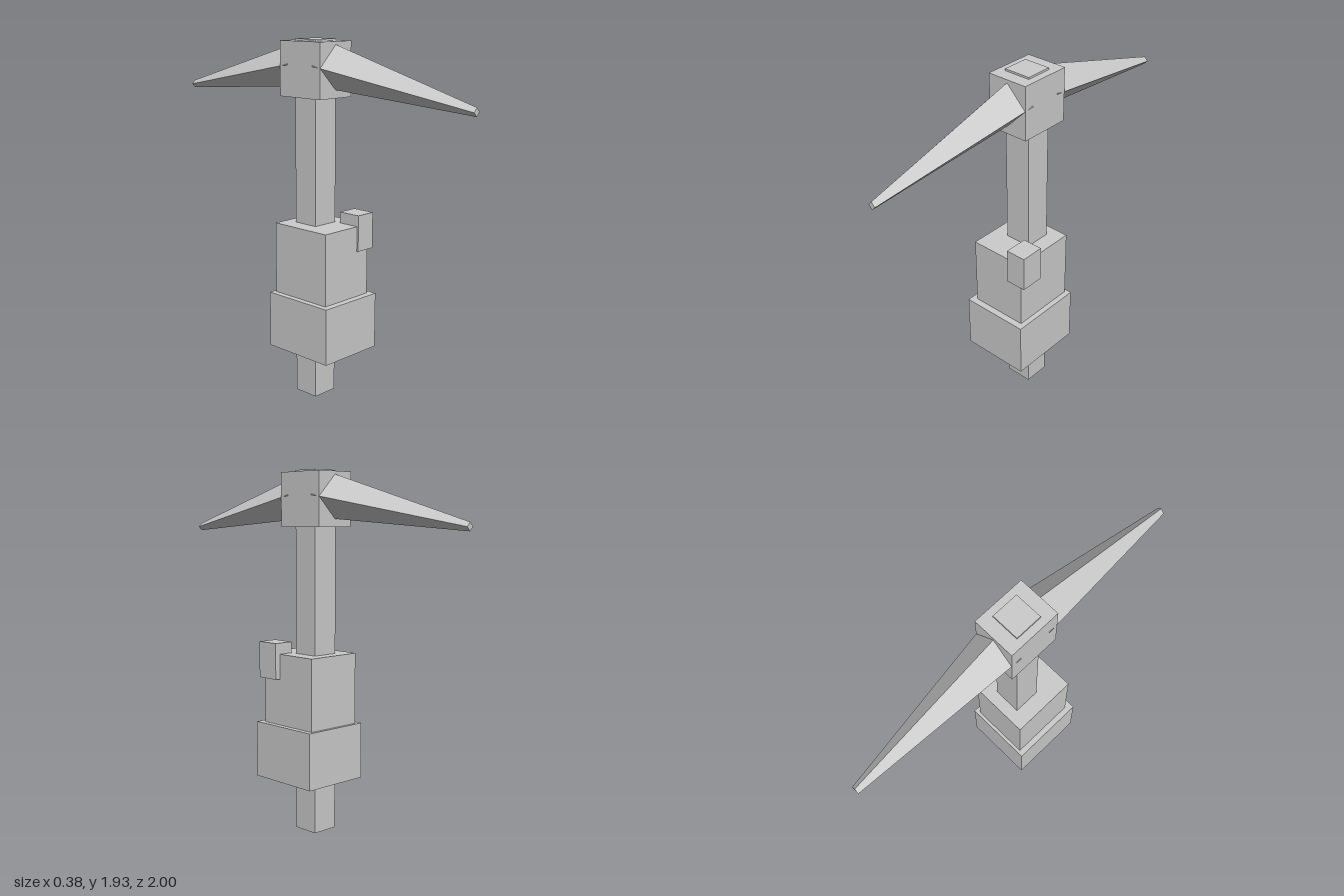
import * as THREE from 'three';

const material = new THREE.MeshStandardMaterial({ color: 0xcccccc, flatShading: true });

// Box given by its [min, max] extents along each axis
function block(name, [x0, x1], [y0, y1], [z0, z1]) {
  const mesh = new THREE.Mesh(new THREE.BoxGeometry(x1 - x0, y1 - y0, z1 - z0), material);
  mesh.position.set((x0 + x1) / 2, (y0 + y1) / 2, (z0 + z1) / 2);
  mesh.name = name;
  return mesh;
}

// Four-sided tapering spike along +z, sheared so that it droops towards its tip
function spikeGeometry() {
  const zBase = 0.09, zTip = 1, yBase = 1.8, yTip = 1.638;
  const geometry = new THREE.CylinderGeometry(0.021, 0.119, zTip - zBase, 4);
  geometry.rotateX(Math.PI / 2).translate(0, 0, (zBase + zTip) / 2);
  const p = geometry.attributes.position;
  for (let i = 0; i < p.count; i++) {
    const t = (p.getZ(i) - zBase) / (zTip - zBase);
    p.setY(i, p.getY(i) + THREE.MathUtils.lerp(yBase, yTip, t));
  }
  const flat = geometry.toNonIndexed();
  flat.computeVertexNormals();
  return flat;
}

export function createModel() {
  const model = new THREE.Group();
  model.name = 'pickaxe';

  // Shaft and the head block it passes through
  model.add(
    block('handle', [-0.075, 0.075], [0, 1.93], [-0.073, 0.073]),
    block('headBlock', [-0.115, 0.115], [1.635, 1.92], [-0.144, 0.142]),
  );

  // Off-centre blocks gripping the shaft
  model.add(
    block('lowerGrip', [-0.195, 0.19], [0.275, 0.58], [-0.155, 0.267]),
    block('upperGrip', [-0.163, 0.16], [0.58, 0.965], [-0.138, 0.23]),
    block('thumb', [0.076, 0.19], [0.83, 1.025], [0.108, 0.24]),
  );

  // Front and back spikes
  const geometry = spikeGeometry();
  ['frontSpike', 'backSpike'].forEach((name, i) => {
    const spike = new THREE.Mesh(geometry, material);
    spike.name = name;
    spike.rotation.y = i * Math.PI;
    model.add(spike);
  });

  return model;
}
